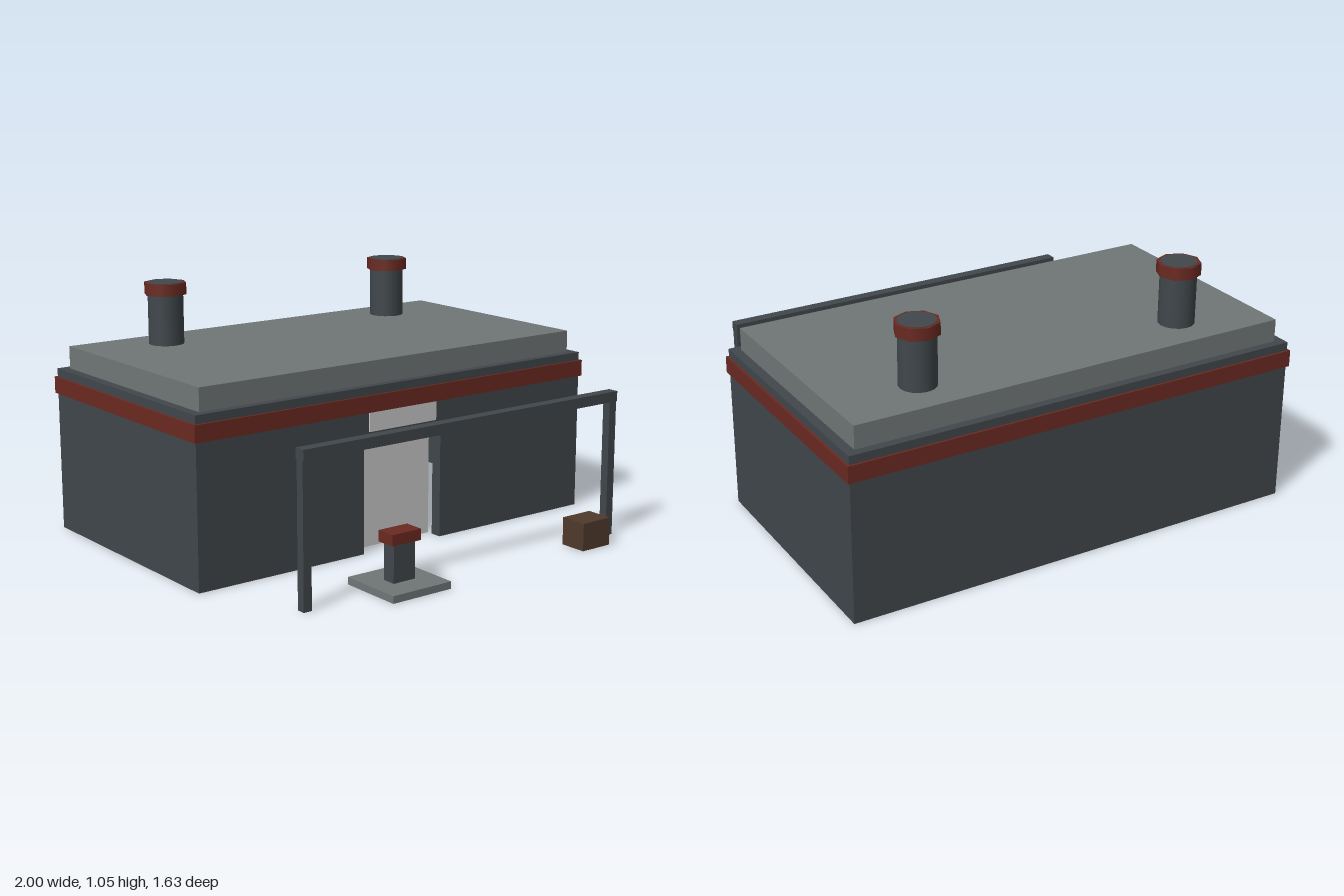
import * as THREE from 'three';

const flat = (name, color) => {
  const m = new THREE.MeshStandardMaterial({ color });
  m.name = name;
  return m;
};

export function createModel() {
  const slate = flat('dark slate', 0x40474b);
  const stone = flat('grey stone', 0x707676);
  const red = flat('brick red', 0x6b2a22);
  const pale = flat('pale grey', 0xcacaca);
  const brown = flat('brown wood', 0x4f3a2c);

  const model = new THREE.Group();
  model.name = 'building';

  // Box given by its limits on each axis
  const box = (name, mat, [x0, x1], [y0, y1], [z0, z1], parent = model) => {
    const mesh = new THREE.Mesh(new THREE.BoxGeometry(x1 - x0, y1 - y0, z1 - z0), mat);
    mesh.position.set((x0 + x1) / 2, (y0 + y1) / 2, (z0 + z1) / 2);
    mesh.name = name;
    parent.add(mesh);
    return mesh;
  };
  const cylinder = (name, mat, r, y0, y1, sides, parent) => {
    const mesh = new THREE.Mesh(new THREE.CylinderGeometry(r, r, y1 - y0, sides), mat);
    mesh.position.y = (y0 + y1) / 2;
    mesh.name = name;
    parent.add(mesh);
  };
  const group = (name) => {
    const g = new THREE.Group();
    g.name = name;
    model.add(g);
    return g;
  };

  // Hollow walls, open underneath
  const X = 0.99, back = -0.806, front = 0.275, t = 0.05, wallTop = 0.59;
  const walls = group('walls');
  box('backWall', slate, [-X, X], [0, wallTop], [back, back + t], walls);
  for (const s of [-1, 1]) {
    const span = (a, b) => (s > 0 ? [a, b] : [-b, -a]);
    box('sideWall', slate, span(X - t, X), [0, wallTop], [back + t, front - t], walls);
    box('frontWall', slate, span(0.2, X), [0, wallTop], [front - t, front], walls);
  }
  box('lintel', slate, [-0.2, 0.2], [0.48, wallTop], [front - t, front], walls);

  // Recessed door and the plate above it
  box('door', pale, [-0.2, 0.2], [0, 0.48], [0.18, 0.2]);
  box('signPlate', pale, [-0.175, 0.17], [0.51, 0.59], [front, front + 0.008]);

  // Stepped roof
  box('roofBand', red, [-1, 1], [0.59, 0.66], [-0.815, 0.285]);
  box('roofLedge', slate, [-X, X], [0.66, 0.695], [back, front]);
  box('roofSlab', stone, [-0.95, 0.95], [0.695, 0.79], [-0.77, 0.24]);

  // Chimneys run from the ground through the roof
  for (const s of [-1, 1]) {
    const chimney = group('chimney');
    chimney.position.set(s * 0.59, 0, -0.583);
    cylinder('chimneyStack', slate, 0.075, 0, 1.052, 16, chimney);
    cylinder('chimneyCap', red, 0.09, 1.0, 1.05, 8, chimney);
  }

  // Free-standing frame before the entrance
  const frame = group('entranceFrame');
  box('frameBeam', slate, [-0.8, 0.8], [0.577, 0.62], [0.65, 0.697], frame);
  box('framePost', slate, [-0.8, -0.763], [0, 0.577], [0.655, 0.692], frame);
  box('framePost', slate, [0.763, 0.8], [0, 0.577], [0.655, 0.692], frame);

  // Pedestal on a square base
  const pedestal = group('pedestal');
  box('pedestalBase', stone, [-0.477, -0.195], [0, 0.03], [0.533, 0.815], pedestal);
  box('pedestalColumn', slate, [-0.388, -0.284], [0.03, 0.185], [0.645, 0.705], pedestal);
  box('pedestalCap', red, [-0.406, -0.266], [0.185, 0.23], [0.633, 0.718], pedestal);

  box('crate', brown, [0.535, 0.685], [0, 0.117], [0.67, 0.79]);

  return model;
}
